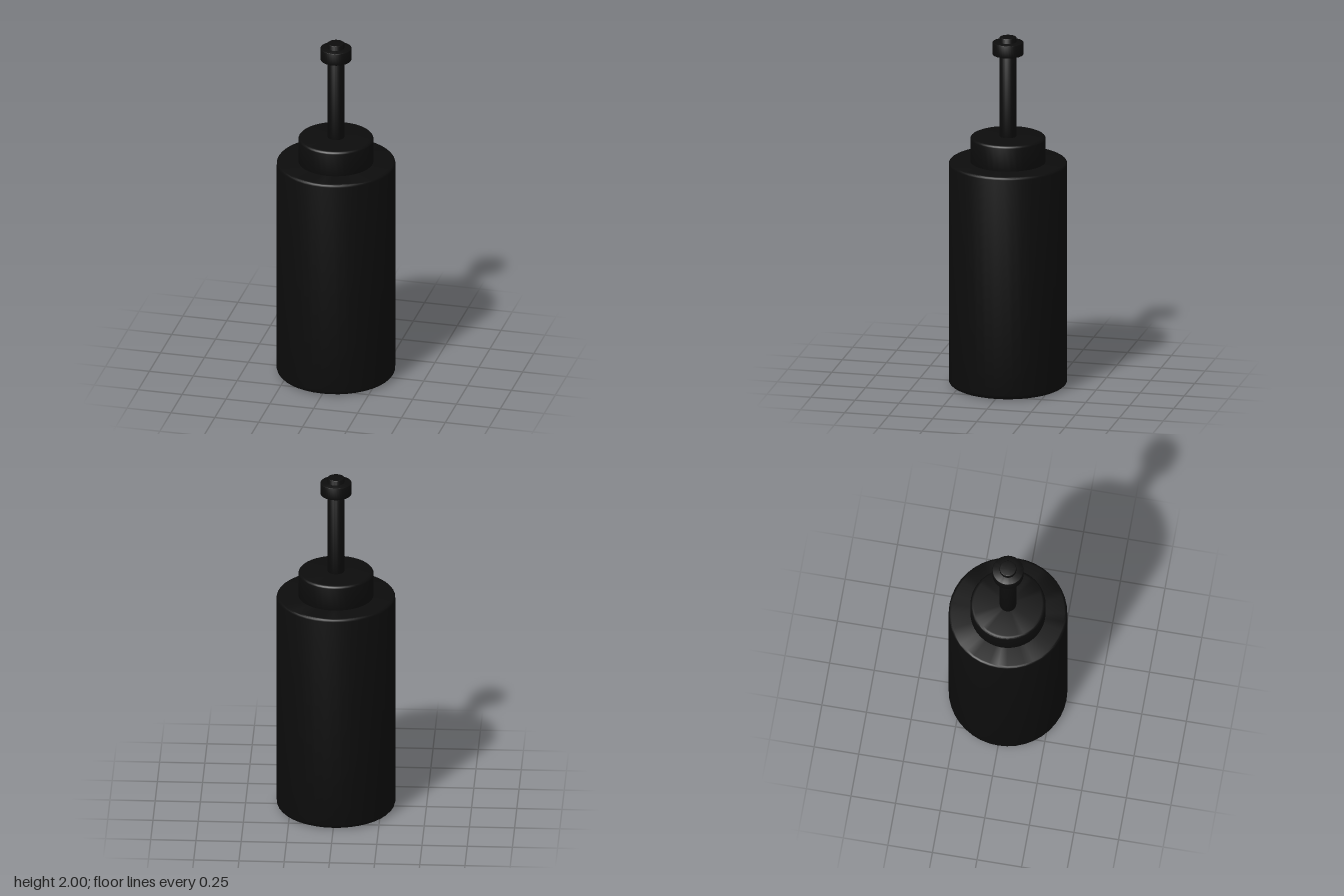
import * as THREE from 'three';
import { toCreasedNormals } from 'three/addons/utils/BufferGeometryUtils.js';

const material = new THREE.MeshStandardMaterial({ color: 0x0c0c0c });

// Closed turned cylinder from y0 to y1 with rounded rims:
// each rim is [inset, height] of a quarter-ellipse.
function turned(name, radius, y0, y1, bottomRim, topRim, sides = 40) {
  const points = [new THREE.Vector2(0, y0)];
  const steps = 4;
  for (let i = 0; i <= steps; i++) {
    const a = (i / steps) * Math.PI / 2;
    points.push(new THREE.Vector2(
      radius - bottomRim[0] * (1 - Math.sin(a)), y0 + bottomRim[1] * (1 - Math.cos(a))));
  }
  for (let i = 0; i <= steps; i++) {
    const a = (i / steps) * Math.PI / 2;
    points.push(new THREE.Vector2(
      radius - topRim[0] * (1 - Math.cos(a)), y1 - topRim[1] * (1 - Math.sin(a))));
  }
  points.push(new THREE.Vector2(0, y1));
  const geometry = toCreasedNormals(new THREE.LatheGeometry(points, sides), Math.PI / 5);
  const mesh = new THREE.Mesh(geometry, material);
  mesh.name = name;
  return mesh;
}

export function createModel() {
  const group = new THREE.Group();
  group.name = 'plungerCylinder';
  group.add(
    // main canister, softer rim at the base than at the shoulder
    turned('body', 0.328, 0, 1.285, [0.04, 0.03], [0.015, 0.015]),
    // stepped cap on the shoulder
    turned('neck', 0.208, 1.27, 1.43, [0.004, 0.004], [0.018, 0.014]),
    // thin rod rising through the collar
    turned('rod', 0.046, 1.41, 2.0, [0.002, 0.002], [0.003, 0.003]),
    // collar near the rod tip
    turned('collar', 0.086, 1.9, 1.972, [0.004, 0.004], [0.005, 0.005]),
  );
  return group;
}
